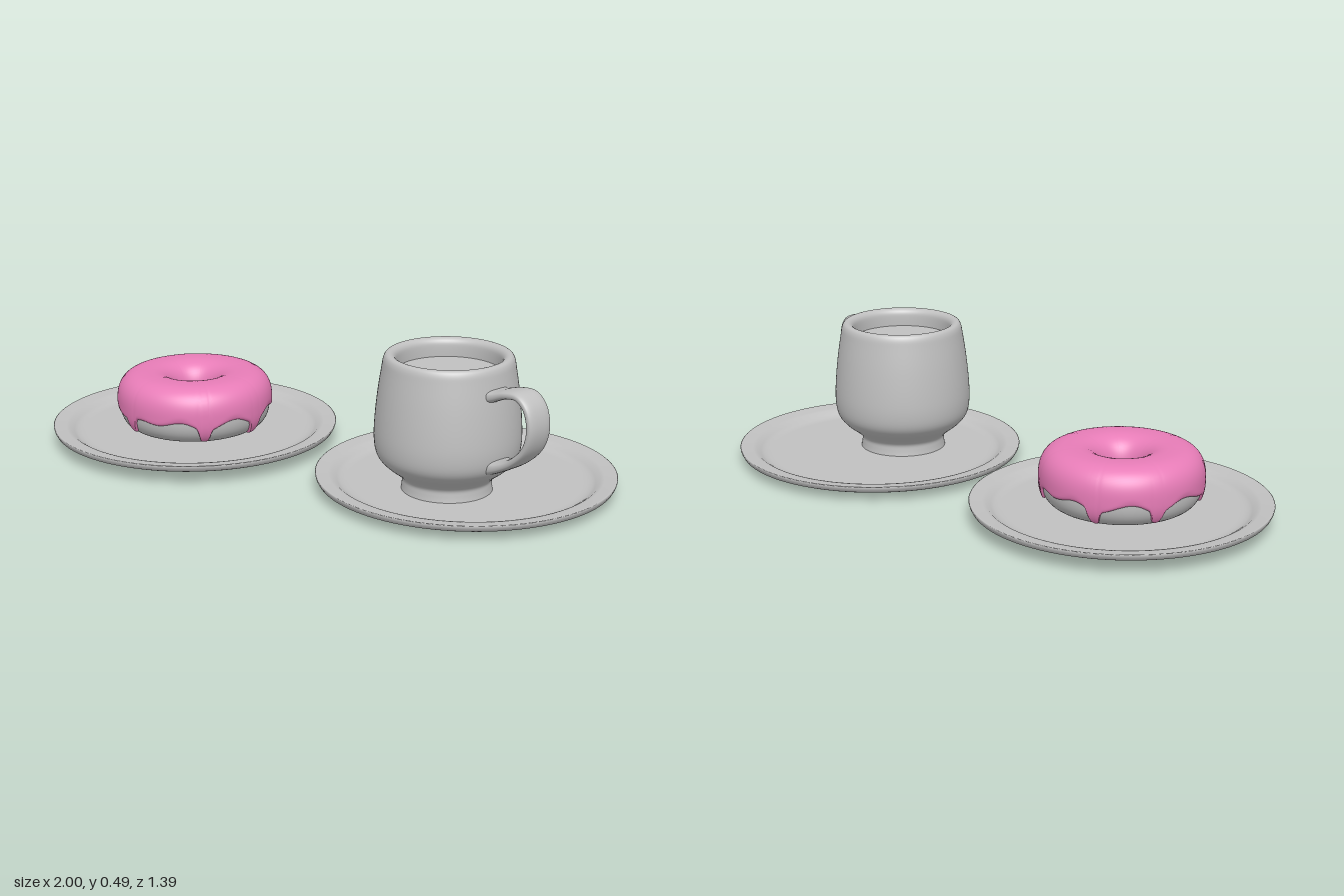
import * as THREE from 'three';

const ceramic = new THREE.MeshStandardMaterial({ color: 0xc0c0c0 });
ceramic.name = 'plainGrey';
const icingPink = new THREE.MeshStandardMaterial({ color: 0xe87db8 });
icingPink.name = 'icingPink';

function part(name, geometry, material, parent, x = 0, y = 0, z = 0) {
  const mesh = new THREE.Mesh(geometry, material);
  mesh.name = name;
  mesh.position.set(x, y, z);
  parent.add(mesh);
  return mesh;
}

// Smooth surface from a rule f(u, v), optionally joined up along u or v
function surface(f, nu, nv, closeU, closeV) {
  const cu = closeU ? nu : nu + 1, cv = closeV ? nv : nv + 1;
  const pos = [], index = [];
  for (let i = 0; i < cu; i++)
    for (let j = 0; j < cv; j++) pos.push(...f(i / nu, j / nv));
  for (let i = 0; i < nu; i++)
    for (let j = 0; j < nv; j++) {
      const i2 = (i + 1) % cu, j2 = (j + 1) % cv;
      const a = i * cv + j, b = i2 * cv + j, c = i2 * cv + j2, d = i * cv + j2;
      index.push(a, b, c, a, c, d);
    }
  const g = new THREE.BufferGeometry();
  g.setAttribute('position', new THREE.Float32BufferAttribute(pos, 3));
  g.setIndex(index);
  g.computeVertexNormals();
  return g;
}

const lathe = (points, sides = 96) =>
  new THREE.LatheGeometry(points.map(([x, y]) => new THREE.Vector2(x, y)), sides);

// Squashed ring section: phi 0 is outward, 90 degrees is up
const power = (t) => Math.sign(t) * Math.abs(t) ** 0.78;
function ringPoint(a, phi, swell) {
  const r = 0.17 + (0.097 + swell) * power(Math.cos(phi));
  const y = 0.15 + (0.097 + swell) * power(Math.sin(phi));
  return [r * Math.sin(a), y, r * Math.cos(a)];
}
const phiAt = (y) => Math.asin(-(((0.15 - y) / 0.1) ** (1 / 0.78)));

// Icing edge height around the ring: [angle in degrees, drip bottom]
const drips = [[-44, 0.086], [-2, 0.072], [60, 0.07], [104, 0.075], [157, 0.082], [216, 0.072], [261, 0.08]];
function icingEdge(a) {
  const deg = THREE.MathUtils.radToDeg(a);
  let y = 0.131 + 0.008 * Math.sin(a * 9 + 1);
  for (const [at, low] of drips) {
    const d = Math.abs(((deg - at + 540) % 360) - 180);
    y -= (0.118 - low) * Math.exp(-((d / 4.5) ** 4)) + 0.016 * Math.exp(-((d / 11) ** 2));
  }
  return THREE.MathUtils.clamp(y, 0.066, 0.145);
}

function icingPoint(u, v) {
  const a = u * Math.PI * 2;
  const start = phiAt(icingEdge(a));
  const end = Math.PI - phiAt(0.1 + 0.008 * Math.sin(a * 5));
  // Samples gather near the edges, where the icing curls into the dough
  const s = v - Math.sin(v * Math.PI * 2) / (Math.PI * 2) * 0.8;
  const lip = Math.min(1, Math.min(s, 1 - s) / 0.035);
  return ringPoint(a, start + (end - start) * s, -0.003 + 0.012 * Math.sqrt(1 - (1 - lip) ** 2));
}

// Plate with a sunken floor and flat rim
const plateProfile = [
  [0, 0], [0.395, 0], [0.402, 0.002], [0.42, 0.012], [0.435, 0.023], [0.448, 0.027], [0.485, 0.029],
  [0.497, 0.034], [0.503, 0.045], [0.505, 0.053], [0.502, 0.055], [0.497, 0.054], [0.46, 0.05],
  [0.447, 0.047], [0.432, 0.036], [0.42, 0.029], [0.405, 0.026], [0.39, 0.025], [0, 0.025],
];

// Cup body, from the foot up over the rim and into the mouth
const cupProfile = [
  [0.152, 0.024], [0.149, 0.045], [0.15, 0.066], [0.172, 0.088], [0.208, 0.116], [0.234, 0.15],
  [0.243, 0.2], [0.241, 0.27], [0.232, 0.36], [0.22, 0.44], [0.214, 0.472], [0.204, 0.486],
  [0.188, 0.486], [0.176, 0.474], [0.173, 0.45], [0.174, 0.4],
];

// Flat, rounded handle swept along a curve, flaring where it meets the cup
function handleGeometry() {
  const path = new THREE.CatmullRomCurve3([
    [0.19, 0.392], [0.235, 0.403], [0.29, 0.421], [0.345, 0.424], [0.383, 0.393],
    [0.399, 0.33], [0.38, 0.262], [0.325, 0.206], [0.265, 0.174], [0.2, 0.155],
  ].map(([x, y]) => new THREE.Vector3(x, y, 0)));
  return surface((u, v) => {
    const p = path.getPoint(u), t = path.getTangent(u), ang = v * Math.PI * 2;
    const flare = Math.max(0, 1 - u / 0.2) ** 2 + Math.max(0, (u - 0.8) / 0.2) ** 2;
    const n = (0.015 + 0.016 * flare) * Math.sign(Math.cos(ang)) * Math.abs(Math.cos(ang)) ** 0.7;
    const w = (0.049 + 0.008 * flare) * Math.sign(Math.sin(ang)) * Math.abs(Math.sin(ang)) ** 0.7;
    return [p.x + t.y * n, p.y - t.x * n, w];
  }, 64, 28, false, true);
}

export function createModel() {
  const model = new THREE.Group();
  model.name = 'cupAndDonut';

  const donut = new THREE.Group();
  donut.name = 'donutOnPlate';
  donut.position.set(-0.497, 0.016, 0.187);
  model.add(donut);
  part('donutPlate', lathe(plateProfile), ceramic, donut);
  part('dough', surface((u, v) => ringPoint(u * Math.PI * 2, v * Math.PI * 2, 0), 96, 48, true, true),
    ceramic, donut, 0, -0.016, 0);
  part('icing', surface(icingPoint, 360, 48, true, false), icingPink, donut, 0, -0.014, 0);

  part('saucer', lathe(plateProfile), ceramic, model, 0.495, 0, -0.193);

  const cup = new THREE.Group();
  cup.name = 'cup';
  cup.position.set(0.508, 0, -0.092);
  model.add(cup);
  const smooth = new THREE.SplineCurve(cupProfile.map(([x, y]) => new THREE.Vector2(x, y)));
  part('cupBody', new THREE.LatheGeometry(smooth.getPoints(60), 96), ceramic, cup);
  part('drink', new THREE.CircleGeometry(0.176, 64).rotateX(-Math.PI / 2), ceramic, cup, 0, 0.425, 0);
  part('handle', handleGeometry(), ceramic, cup);

  return model;
}
